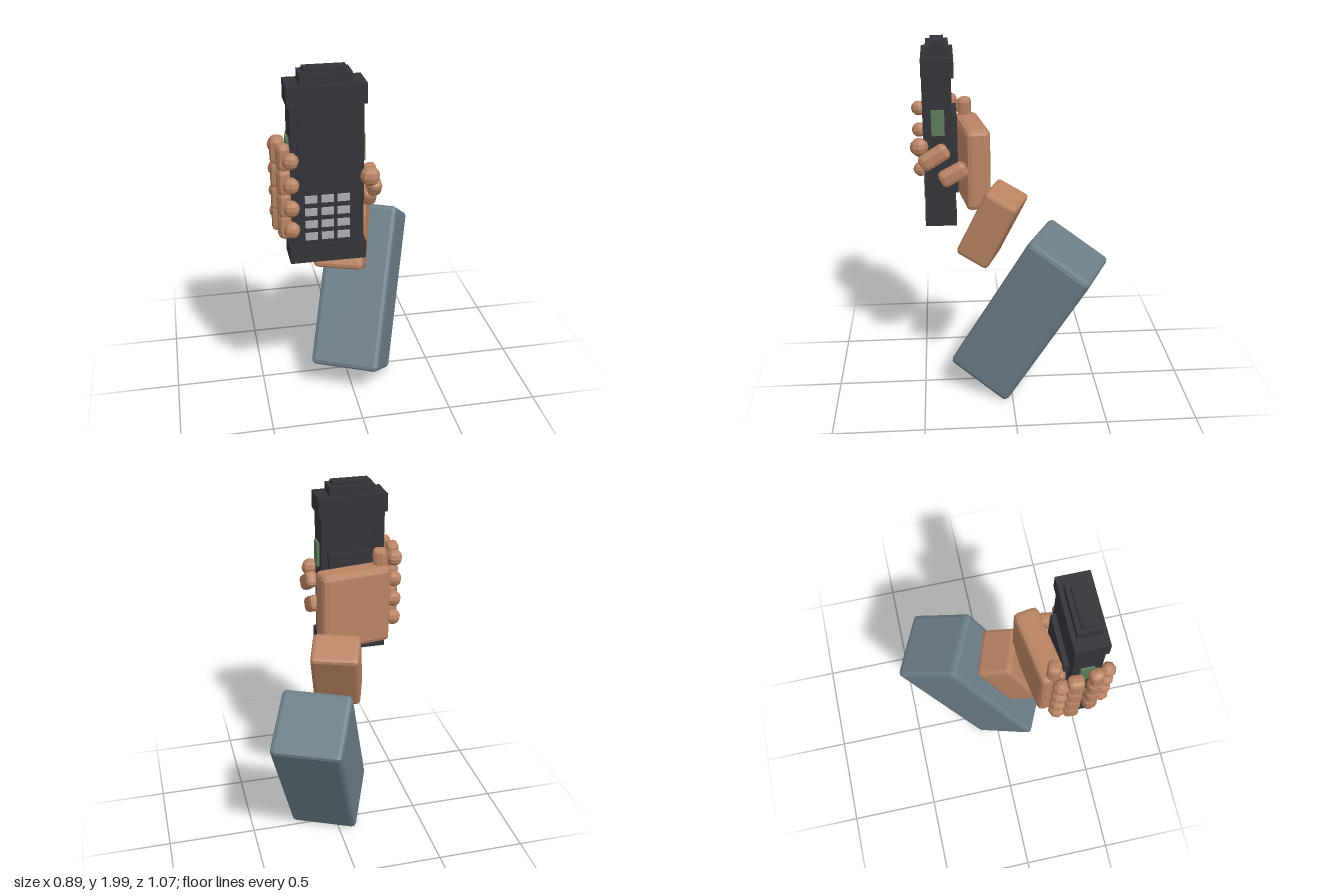
import * as THREE from 'three';
import { RoundedBoxGeometry } from 'three/addons/geometries/RoundedBoxGeometry.js';

const paint = (name, color, flatShading = false) => {
  const m = new THREE.MeshStandardMaterial({ color, flatShading });
  m.name = name;
  return m;
};

export function createModel() {
  const skin = paint('skin', 0xb98362, true);
  const cloth = paint('sleeve cloth', 0x6b7d87, true);
  const plastic = paint('dark plastic', 0x343339);
  const keyGrey = paint('key grey', 0xabadb1);
  const green = paint('green panel', 0x5c7a58);

  const model = new THREE.Group();
  const v3 = (p) => new THREE.Vector3(...p);

  const add = (parent, name, geometry, material, pos) => {
    const mesh = new THREE.Mesh(geometry, material);
    mesh.name = name;
    mesh.position.set(...pos);
    parent.add(mesh);
    return mesh;
  };

  // Box from min/max corners
  const block = (parent, name, material, [x0, y0, z0], [x1, y1, z1]) =>
    add(parent, name, new THREE.BoxGeometry(x1 - x0, y1 - y0, z1 - z0), material,
      [(x0 + x1) / 2, (y0 + y1) / 2, (z0 + z1) / 2]);

  // Bevelled box turned so its width and height follow the given axes
  const bevelled = (name, material, size, bevel, pos, across, up) => {
    const mesh = add(model, name, new RoundedBoxGeometry(...size, 1, bevel), material, pos);
    const x = v3(across).normalize();
    const z = x.clone().cross(v3(up)).normalize();
    const y = z.clone().cross(x);
    mesh.quaternion.setFromRotationMatrix(new THREE.Matrix4().makeBasis(x, y, z));
    return mesh;
  };

  // Bevelled finger bone between two points
  const bone = (parent, name, a, b, w, h) => {
    const from = v3(a), to = v3(b);
    const mid = from.clone().add(to).multiplyScalar(0.5);
    const mesh = add(parent, name,
      new RoundedBoxGeometry(w, h, from.distanceTo(to), 1, 0.025), skin, mid.toArray());
    mesh.lookAt(to);
  };
  const joint = (parent, name, pos, r) =>
    add(parent, name, new THREE.SphereGeometry(r, 8, 6), skin, pos);

  // Arm
  bevelled('sleeve', cloth, [0.39, 0.95, 0.395], 0.025, [0.106, 0.507, -0.097],
    [0.908, 0, 0.419], [0.2, 0.865, -0.46]);
  bevelled('wrist', skin, [0.268, 0.42, 0.2], 0.022, [-0.037, 0.988, 0.095],
    [0.943, 0, 0.333], [0.135, 0.9, -0.415]);
  bevelled('palm', skin, [0.41, 0.455, 0.135], 0.028, [-0.155, 1.325, 0.2],
    [0.988, 0, -0.155], [0, 1, 0]);

  // Fingers wrapped round the right side of the handset
  [1.574, 1.447, 1.325, 1.21].forEach((y, i) => {
    const finger = new THREE.Group();
    finger.name = 'finger' + (i + 1);
    finger.position.y = y;
    model.add(finger);
    bone(finger, 'fingerBase', [-0.25, 0, 0.26], [-0.385, 0, 0.205], 0.07, 0.08);
    joint(finger, 'knuckle', [-0.405, 0, 0.247], 0.045);
    bone(finger, 'fingerMiddle', [-0.402, 0, 0.25], [-0.417, 0, 0.39], 0.072, 0.085);
    bone(finger, 'fingerEnd', [-0.41, 0, 0.36], [-0.377, 0, 0.495], 0.066, 0.075);
    joint(finger, 'fingertip', [-0.365, 0, 0.492], 0.042);
  });

  // Thumb on the left side
  const thumb = new THREE.Group();
  thumb.name = 'thumb';
  model.add(thumb);
  bone(thumb, 'thumbBase', [0.045, 1.353, 0.235], [0.055, 1.28, 0.378], 0.075, 0.09);
  bone(thumb, 'thumbEnd', [0.045, 1.457, 0.335], [0.06, 1.372, 0.48], 0.07, 0.09);
  joint(thumb, 'thumbTip', [0.027, 1.465, 0.485], 0.05);

  // Handset shell
  const handset = new THREE.Group();
  handset.name = 'handset';
  model.add(handset);
  block(handset, 'body', plastic, [-0.36, 1.05, 0.307], [0.002, 1.88, 0.457]);
  block(handset, 'bottomCap', plastic, [-0.372, 1.005, 0.293], [0.016, 1.1, 0.465]);
  block(handset, 'topCap', plastic, [-0.372, 1.83, 0.293], [0.016, 1.93, 0.465]);
  block(handset, 'topStep', plastic, [-0.306, 1.93, 0.317], [-0.051, 1.98, 0.439]);
  block(handset, 'topButton', plastic, [-0.284, 1.98, 0.341], [-0.073, 2.0, 0.415]);
  block(handset, 'backPlate', plastic, [-0.32, 1.18, 0.28], [-0.036, 1.61, 0.31]);
  block(handset, 'frontPlate', plastic, [-0.325, 1.11, 0.456], [-0.035, 1.82, 0.464]);

  // Green side panels
  for (const x of [-0.365, 0.007]) {
    block(handset, 'sidePanel', green, [x - 0.009, 1.52, 0.347], [x + 0.009, 1.66, 0.418]);
  }

  // Keypad
  for (const x of [-0.264, -0.182, -0.102]) {
    for (const y of [1.355, 1.287, 1.22, 1.153]) {
      block(handset, 'key', keyGrey, [x - 0.031, y - 0.02, 0.462], [x + 0.031, y + 0.02, 0.47]);
    }
  }

  return model;
}
